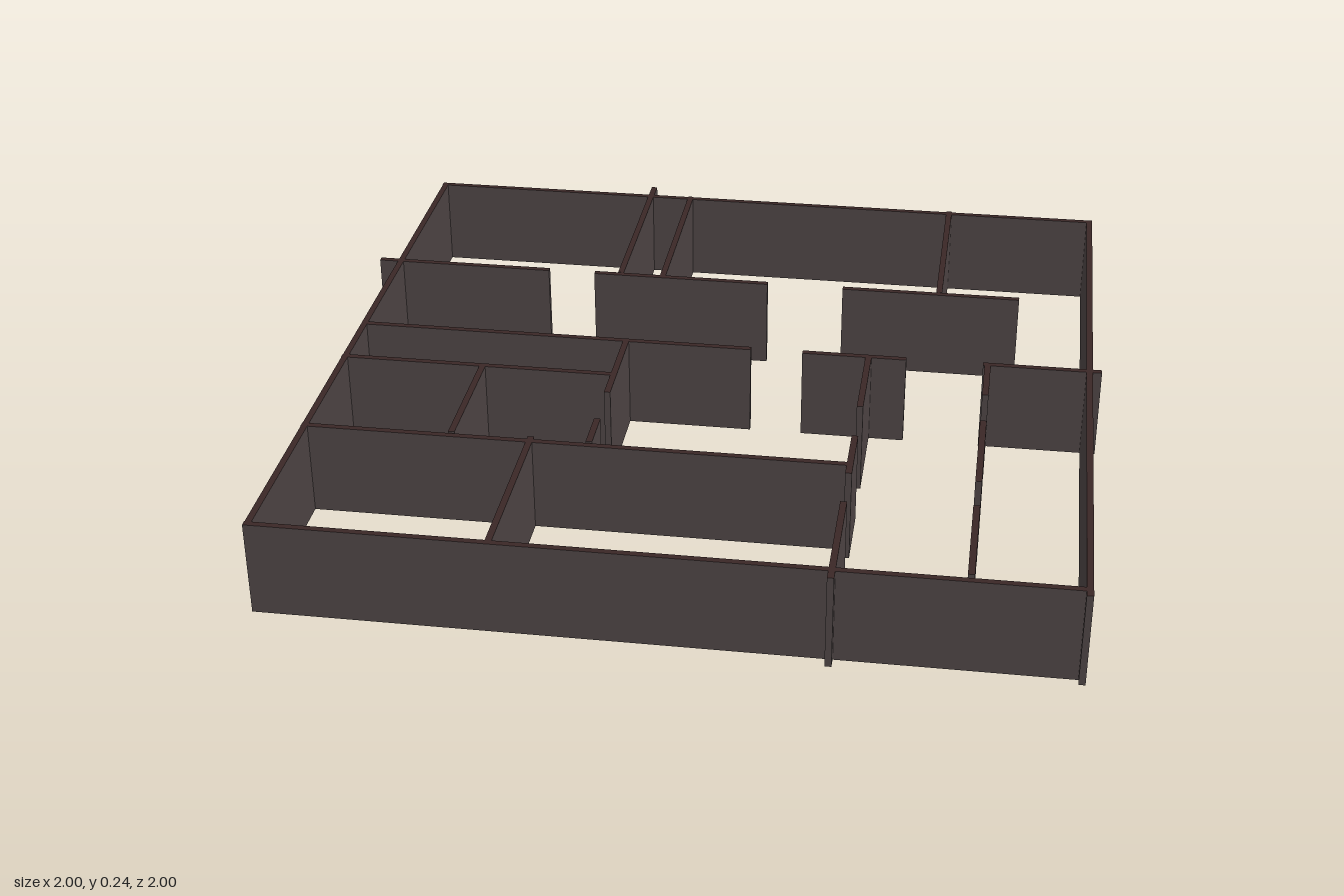
import * as THREE from 'three';

const HEIGHT = 0.24;
const THICK = 0.016;

export function createModel() {
  const model = new THREE.Group();
  model.name = 'floorPlanWalls';

  const wallGrey = new THREE.MeshStandardMaterial({ color: 0x4d4444 });
  wallGrey.name = 'wallGrey';
  const capBrown = new THREE.MeshStandardMaterial({ color: 0x3a2726 });
  capBrown.name = 'capBrown';
  // box face order: +x, -x, top, bottom, +z, -z
  const faces = [wallGrey, wallGrey, capBrown, capBrown, wallGrey, wallGrey];

  function addWall(name, x0, x1, z0, z1) {
    const wall = new THREE.Mesh(new THREE.BoxGeometry(x1 - x0, HEIGHT, z1 - z0), faces);
    wall.position.set((x0 + x1) / 2, HEIGHT / 2, (z0 + z1) / 2);
    wall.name = name;
    model.add(wall);
  }
  // wall running left to right, at depth z
  const across = (name, z, x0, x1) => addWall(name, x0, x1, z - THICK / 2, z + THICK / 2);
  // wall running back to front, at x
  const along = (name, x, z0, z1) => addWall(name, x - THICK / 2, x + THICK / 2, z0, z1);

  // outer walls
  across('backWall', -0.937, -0.95, 0.977);
  across('frontWall', 0.964, -0.95, 0.977);
  along('rightWall', -0.941, -0.945, 0.972);
  along('leftWall', 0.969, -0.945, 0.99);

  // corridor walls with door gaps
  for (const [x0, x1] of [[-1, -0.518], [-0.39, 0.093], [0.3, 0.78]])
    across('backCorridorWall', -0.414, x0, x1);
  for (const [x0, x1] of [[-0.94, 0.095], [0.23, 0.5], [0.697, 1]])
    across('frontCorridorWall', -0.033, x0, x1);

  // partitions of the back rooms
  along('backPartition', -0.318, -1, -0.424);
  along('backPartition', -0.2, -0.948, -0.414);
  along('backPartition', 0.563, -0.95, -0.424);

  // partitions of the front rooms
  across('sideRoomWall', 0.152, -0.95, -0.235);
  across('middleRoomWall', 0.51, -0.95, 0.395);
  along('smallRoomPartition', -0.577, 0.152, 0.494);
  along('frontPartition', -0.379, 0.49, 0.964);
  for (const [z0, z1] of [[-0.035, 0.248], [0.382, 0.494]])
    along('smallRoomDoorWall', -0.235, z0, z1);

  // hallway walls with door gaps
  for (const [z0, z1] of [[-0.035, 0.232], [0.376, 0.553], [0.68, 1]])
    along('hallInnerWall', 0.402, z0, z1);
  for (const [z0, z1] of [[-0.035, 0.13], [0.259, 0.547], [0.654, 0.942]])
    along('hallOuterWall', 0.709, z0, z1);

  return model;
}
